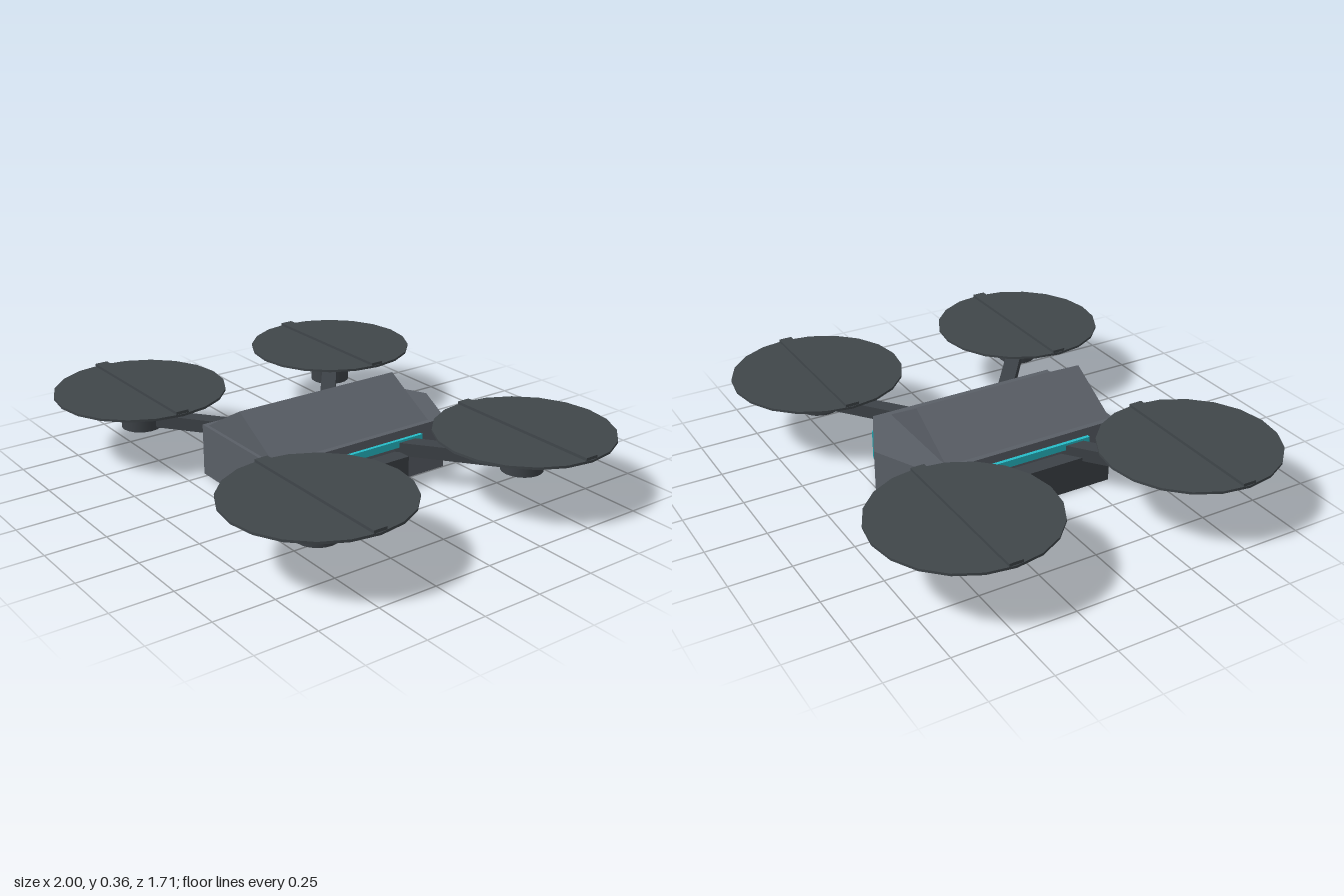
import * as THREE from 'three';

const paint = (name, color) => {
  const m = new THREE.MeshStandardMaterial({ color });
  m.name = name;
  return m;
};

export function createModel() {
  const hullGrey = paint('hull grey', 0x5a5f67);
  const darkGrey = paint('dark grey', 0x3d4247);
  const rotorGrey = paint('rotor grey', 0x40464a);
  const cyan = paint('cyan light', 0x26bcc8);

  const model = new THREE.Group();
  model.name = 'quadcopter';

  const add = (name, geometry, material, x = 0, y = 0, z = 0, parent = model) => {
    const mesh = new THREE.Mesh(geometry, material);
    mesh.name = name;
    mesh.position.set(x, y, z);
    parent.add(mesh);
    return mesh;
  };
  const prism = (points, depth) => new THREE.ExtrudeGeometry(
    new THREE.Shape(points.map(([x, y]) => new THREE.Vector2(x, y))),
    { depth, bevelEnabled: false });

  // Hull: five-sided plan with a pointed tail, extruded upwards
  const plan = [[-0.26, -0.42], [0.26, -0.42], [0.26, 0.42], [0, 0.54], [-0.26, 0.42]];
  add('hull', prism(plan, 0.217).rotateX(-Math.PI / 2), hullGrey, 0, 0.008, 0);

  // Ridged roof
  add('roof', prism([[-0.238, 0.224], [0.238, 0.224], [0, 0.362]], 0.754), hullGrey, 0, 0, -0.349);

  // Side pods and light bars
  for (const side of [-1, 1]) {
    add('sidePod', new THREE.BoxGeometry(0.08, 0.14, 0.52), darkGrey, side * 0.29, 0.07, 0.085);
    add('lightBar', new THREE.BoxGeometry(0.03, 0.03, 0.575), cyan, side * 0.26, 0.175, -0.003);
  }

  // Thin upright light on one tail face
  const tailLight = add('tailLight', new THREE.BoxGeometry(0.01, 0.125, 0.009), cyan, 0.16, 0.155, -0.467);
  tailLight.rotation.y = -Math.atan2(0.12, 0.26);

  // Four arms, each with a motor and a rotor
  const px = 0.64, pz = 0.495;
  const inner = 0.3, reach = Math.hypot(px, pz);
  for (const sx of [-1, 1]) {
    for (const sz of [-1, 1]) {
      const unit = new THREE.Group();
      unit.name = (sz > 0 ? 'front' : 'back') + (sx > 0 ? 'Left' : 'Right') + 'Rotor';
      model.add(unit);

      const mid = (inner + reach) / 2 / reach;
      const arm = add('arm', new THREE.BoxGeometry(reach - inner, 0.055, 0.065), darkGrey,
        sx * px * mid, 0.153, sz * pz * mid, unit);
      arm.rotation.y = -Math.atan2(sz * pz, sx * px);

      add('motor', new THREE.CylinderGeometry(0.086, 0.086, 0.15, 20), darkGrey,
        sx * px, 0.19, sz * pz, unit);
      add('shaft', new THREE.CylinderGeometry(0.02, 0.02, 0.02, 12), darkGrey,
        sx * px, 0.268, sz * pz, unit);
      add('rotorDisc', new THREE.CylinderGeometry(0.36, 0.36, 0.01, 20), rotorGrey,
        sx * px, 0.277, sz * pz, unit);
      add('blade', new THREE.BoxGeometry(0.71, 0.016, 0.056), rotorGrey,
        sx * px, 0.286, sz * pz, unit);
    }
  }
  return model;
}
